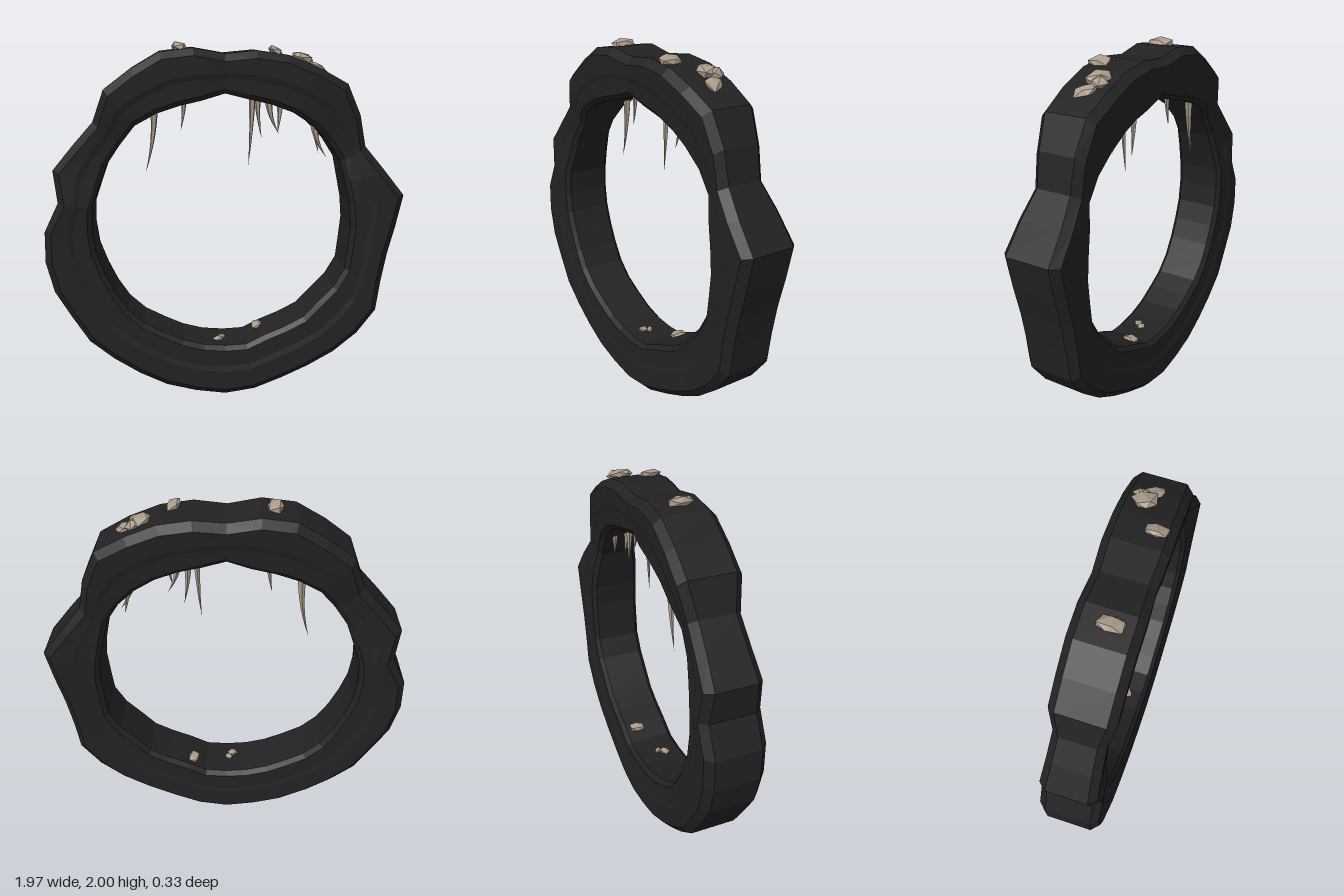
import * as THREE from 'three';

const stone = new THREE.MeshStandardMaterial({ color: 0x222222, flatShading: true });
stone.name = 'dark stone';
const bone = new THREE.MeshStandardMaterial({ color: 0xaa9b8a, flatShading: true });
bone.name = 'pale tan';

// Radii about (0, 1), one every 10 degrees from +x anticlockwise
const OUTER = [
  .955, 1.005, .93, .888, .957, 1.02, 1.0, .99, .97, .94, .985, 1.01,
  .995, .99, .915, .935, .98, .915, .98, 1.0, 1.005, .99, 1.0, .985,
  .98, .985, .985, .995, .985, .965, .965, .98, .995, 1.0, .945, .93];
const INNER = [
  .70, .70, .705, .73, .735, .735, .73, .72, .715, .735, .71, .715,
  .73, .745, .73, .73, .72, .73, .725, .72, .71, .71, .715, .71,
  .695, .695, .695, .695, .70, .675, .68, .695, .69, .71, .72, .70];
// Half thickness where the ring narrows (degrees / 10)
const WAIST = { 2: .155, 3: .135, 4: .14, 5: .155, 9: .155, 14: .135, 15: .14, 16: .15 };

// Ring swept from bevelled cross-sections
function ringGeometry() {
  const n = OUTER.length, pos = [], idx = [];
  for (let i = 0; i < n; i++) {
    const a = i * Math.PI * 2 / n, ro = OUTER[i], ri = INNER[i], w = WAIST[i] ?? .163;
    const mid = ri + (ro - ri) * .45;
    const half = [[ro, w - .04], [ro - .04, w], [mid + .015, w - .004], [mid - .015, w - .012], [ri + .025, w - .016], [ri, w - .04]];
    const section = [...half, ...half.map(([r, z]) => [r, -z]).reverse()];
    for (const [r, z] of section) pos.push(r * Math.cos(a), 1 + r * Math.sin(a), z);
  }
  const m = 12;
  for (let i = 0; i < n; i++) for (let j = 0; j < m; j++) {
    const a = i * m + j, b = i * m + (j + 1) % m;
    const c = ((i + 1) % n) * m + j, d = ((i + 1) % n) * m + (j + 1) % m;
    idx.push(a, c, b, b, c, d);
  }
  const g = new THREE.BufferGeometry();
  g.setAttribute('position', new THREE.Float32BufferAttribute(pos, 3));
  g.setIndex(idx);
  g.computeVertexNormals();
  return g;
}

// Tapered spike hanging from (x, y, z), curling by dx, dz at its tip
function spike(x, y, z, length, radius, dx, dz) {
  const g = new THREE.ConeGeometry(radius, 1, 5, 6).rotateX(Math.PI);
  const p = g.attributes.position;
  for (let i = 0; i < p.count; i++) {
    const t = .5 - p.getY(i);
    p.setXYZ(i, x + p.getX(i) + dx * t * t, y - length * t, z + p.getZ(i) + dz * t * t);
  }
  g.computeVertexNormals();
  return new THREE.Mesh(g, bone);
}

// Irregular flat shard; offsets depend on position so shared corners stay joined
function shard(x, y, z, sx, sy, sz, tilt, turn, seed) {
  const g = new THREE.IcosahedronGeometry(1, 0);
  const p = g.attributes.position, v = new THREE.Vector3();
  for (let i = 0; i < p.count; i++) {
    v.fromBufferAttribute(p, i);
    const h = Math.sin(v.x * 12.9 + v.y * 78.2 + v.z * 37.7 + seed * 5.3);
    v.multiplyScalar(.95 + .25 * h);
    p.setXYZ(i, v.x, v.y, v.z);
  }
  g.scale(sx, sy, sz).rotateY(turn).rotateZ(tilt);
  g.computeVertexNormals();
  const mesh = new THREE.Mesh(g, bone);
  mesh.position.set(x, y, z);
  return mesh;
}

export function createModel() {
  const model = new THREE.Group();
  const ring = new THREE.Mesh(ringGeometry(), stone);
  ring.name = 'ring';
  model.add(ring);

  const spikes = new THREE.Group();
  spikes.name = 'hangingSpikes';
  [
    [-.38, 1.63, -.09, .35, .022, -.055, 0],
    [-.215, 1.7, -.04, .18, .018, -.02, 0],
    [.155, 1.71, .01, .38, .02, -.02, 0],
    [.195, 1.7, -.08, .23, .02, .025, 0],
    [.25, 1.69, -.02, .19, .024, .06, 0],
    [.305, 1.68, .03, .17, .02, -.015, .02],
    [.5, 1.56, .02, .19, .024, .075, 0],
    [.52, 1.53, -.05, .14, .018, .02, 0],
  ].forEach((s) => spikes.add(spike(...s)));
  model.add(spikes);

  const shards = new THREE.Group();
  shards.name = 'shards';
  [
    [-.235, 1.972, .02, .05, .026, .07, -.1, .3, 1],
    [.265, 1.952, .07, .05, .02, .06, -.4, .4, 2],
    [.42, 1.915, -.03, .065, .028, .07, -.3, .9, 3],
    [.46, 1.9, -.05, .05, .035, .05, -.7, 2.1, 4],
    [.51, 1.865, -.01, .055, .028, .075, -.5, .2, 5],
    [-.03, .313, .035, .032, .016, .03, .1, .5, 6],
    [-.01, .31, 0, .022, .016, .025, 0, 1.2, 7],
    [.2, .355, -.055, .042, .02, .045, .2, .3, 8],
  ].forEach((s) => shards.add(shard(...s)));
  model.add(shards);
  return model;
}
